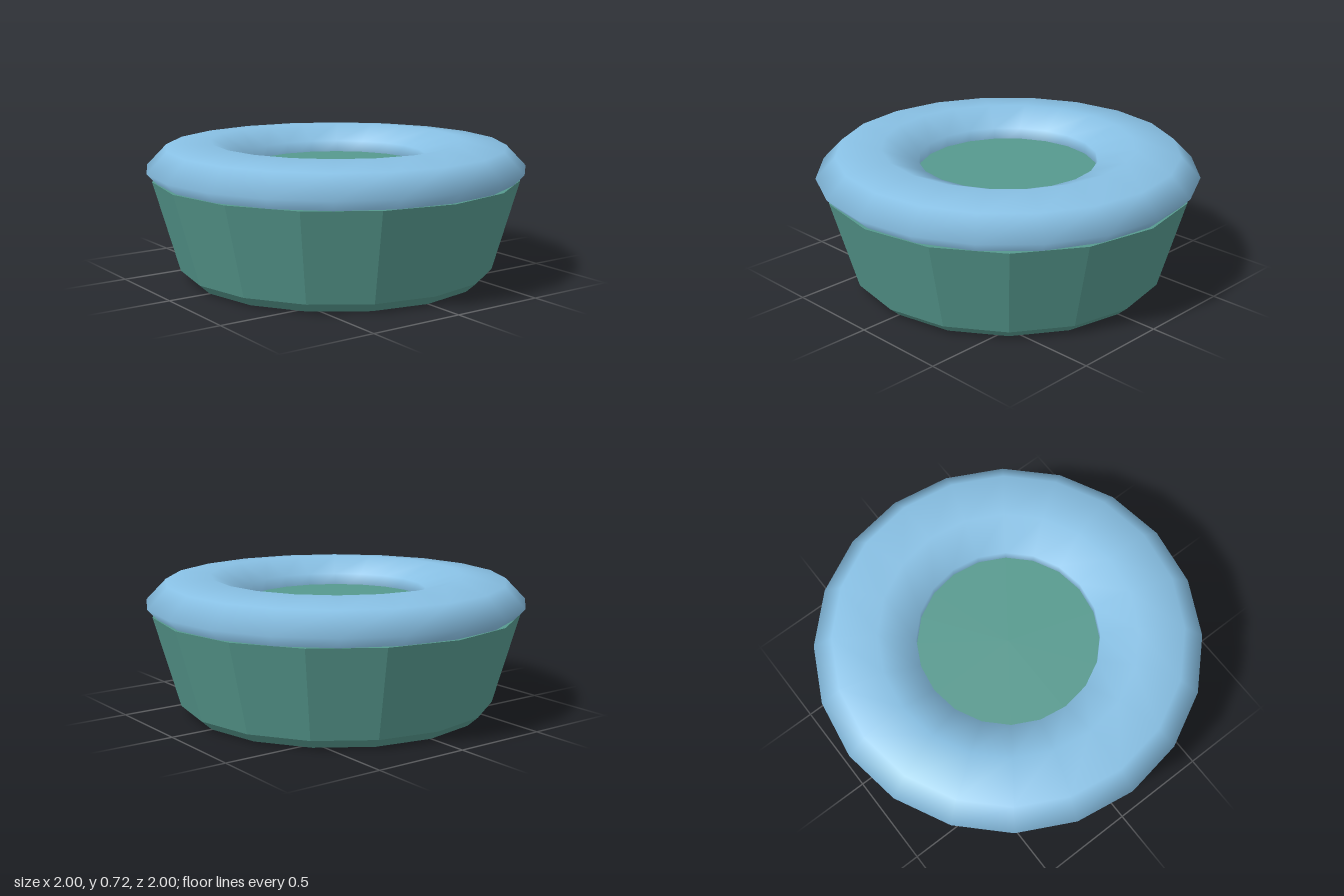
import * as THREE from 'three';

export function createModel() {
  const model = new THREE.Group();
  model.name = 'roundTub';

  const green = new THREE.MeshStandardMaterial({ color: 0x56998e });
  green.name = 'green';
  green.flatShading = true;
  const blue = new THREE.MeshStandardMaterial({ color: 0x88c0e4 });
  blue.name = 'lightBlue';

  const add = (name, geometry, material, y = 0) => {
    const mesh = new THREE.Mesh(geometry, material);
    mesh.name = name;
    mesh.position.y = y;
    model.add(mesh);
    return mesh;
  };

  // Sixteen-sided tapered base with a bevelled foot and a closed top
  const profile = [[0, 0], [0.775, 0], [0.83, 0.05], [0.965, 0.525], [0, 0.525]]
    .map(([r, y]) => new THREE.Vector2(r, y));
  add('base', new THREE.LatheGeometry(profile, 16), green);

  // Flat raised centre, its edge hidden inside the ring
  add('centre', new THREE.CylinderGeometry(0.56, 0.56, 0.07, 20), green, 0.545);

  // Squashed smooth ring with a seven-sided tube
  const ring = new THREE.TorusGeometry(0.721, 0.279, 7, 20);
  ring.rotateX(-Math.PI / 2);
  ring.scale(1, 0.5, 1);
  add('ring', ring, blue, 0.58);

  return model;
}
